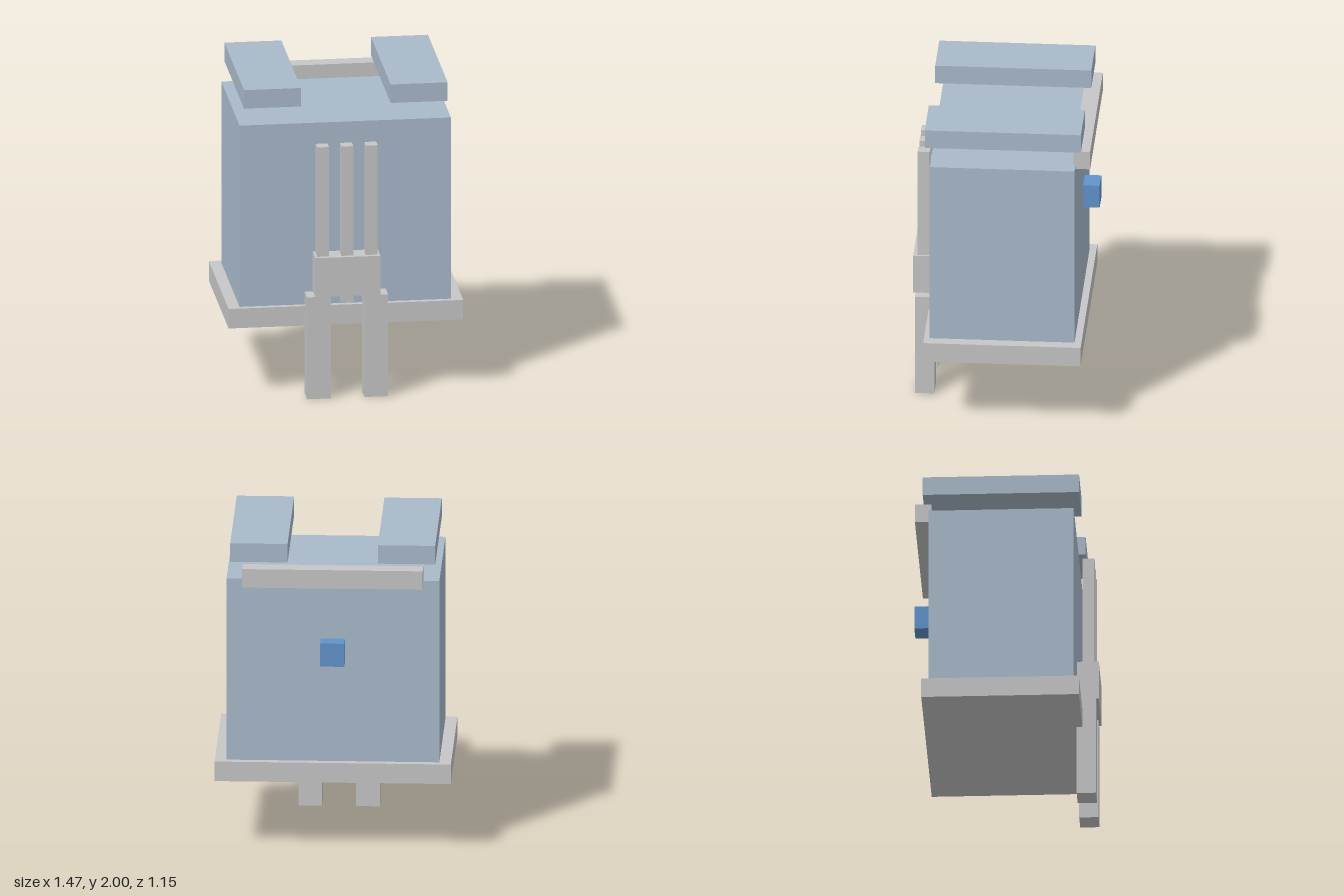
import * as THREE from 'three';

const material = (name, color) => {
  const m = new THREE.MeshStandardMaterial({ color });
  m.name = name;
  return m;
};

export function createModel() {
  const model = new THREE.Group();
  model.name = 'cabinet';
  const blueGrey = material('blueGrey', 0xa9b9c9);
  const lightGrey = material('lightGrey', 0xc6c5c7);
  const blue = material('blue', 0x6093cc);

  // Box given by its extents along each axis
  const box = (name, mat, [x0, x1], [y0, y1], [z0, z1]) => {
    const mesh = new THREE.Mesh(new THREE.BoxGeometry(x1 - x0, y1 - y0, z1 - z0), mat);
    mesh.position.set((x0 + x1) / 2, (y0 + y1) / 2, (z0 + z1) / 2);
    mesh.name = name;
    model.add(mesh);
  };

  // Main housing on its base slab
  box('body', blueGrey, [-0.66, 0.66], [0.58, 1.76], [-0.46, 0.44]);
  box('base', lightGrey, [-0.733, 0.733], [0.453, 0.58], [-0.503, 0.475]);

  // Rear rail and button
  box('rearRail', lightGrey, [-0.56, 0.56], [1.73, 1.85], [-0.55, -0.447]);
  box('rearButton', blue, [-0.075, 0.075], [1.23, 1.38], [-0.575, -0.472]);

  // Front clamp block with three upright rods
  box('clampBlock', lightGrey, [-0.203, 0.203], [0.668, 0.921], [0.44, 0.575]);
  for (const x of [-0.152, 0, 0.152]) {
    box('rod', lightGrey, [x - 0.037, x + 0.037], [0.617, 1.633], [0.473, 0.548]);
  }

  // Mirrored front legs and floating roof panels
  for (const side of [-1, 1]) {
    const name = side > 0 ? 'left' : 'right';
    const span = (centre, half) => [side * centre - half, side * centre + half];
    box(name + 'Leg', lightGrey, span(0.179, 0.074), [0, 0.663], [0.44, 0.56]);
    box(name + 'RoofPanel', blueGrey, span(0.458, 0.178), [1.88, 2], [-0.498, 0.472]);
  }
  return model;
}
